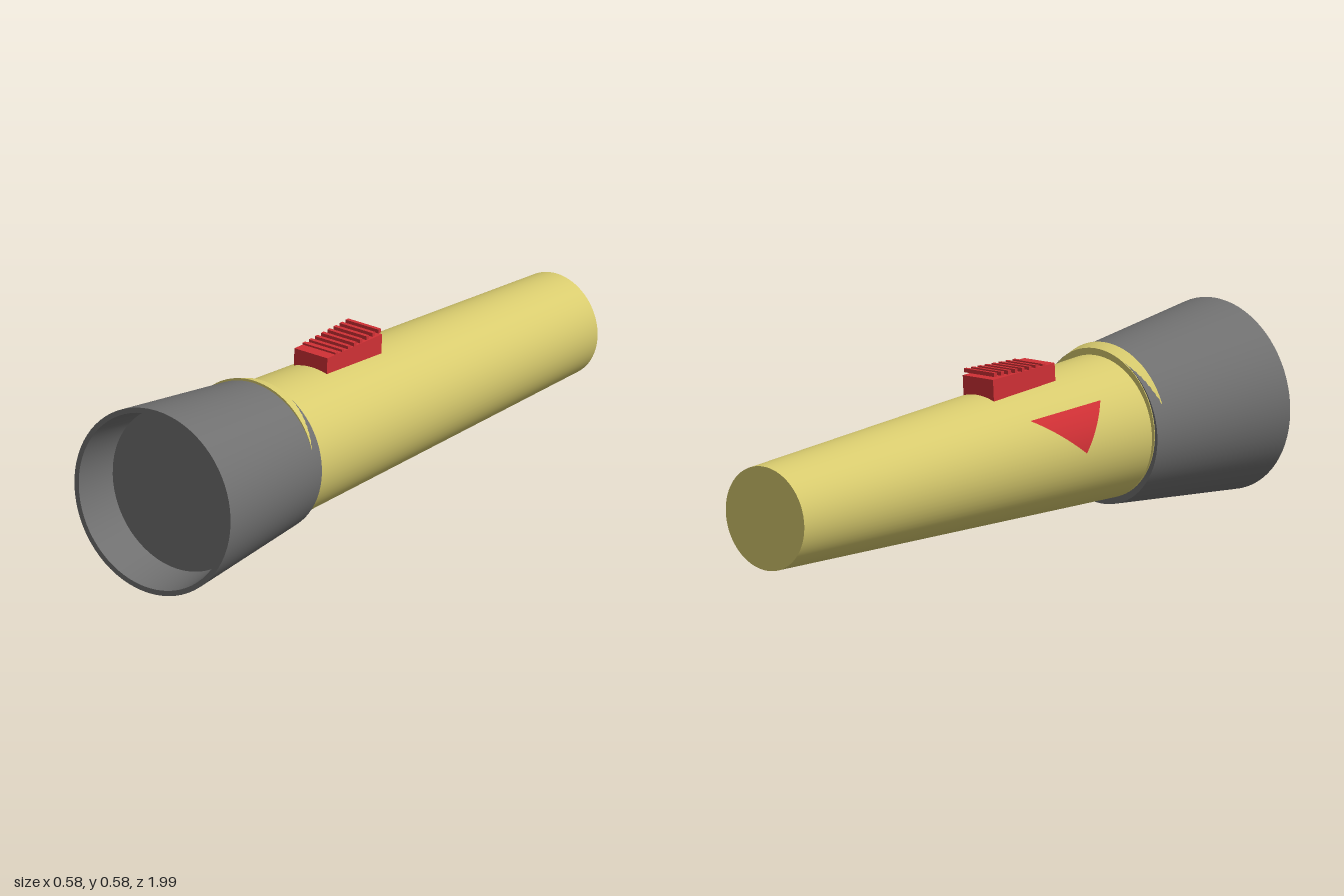
import * as THREE from 'three';
import { toCreasedNormals } from 'three/addons/utils/BufferGeometryUtils.js';

const yellow = new THREE.MeshStandardMaterial({ color: 0xd8cb6e });
yellow.name = 'yellow plastic';
const grey = new THREE.MeshStandardMaterial({ color: 0x707070 });
grey.name = 'grey plastic';
const red = new THREE.MeshStandardMaterial({ color: 0xd03035, side: THREE.DoubleSide });
red.name = 'red plastic';

const TILT = 0.062;

function part(parent, name, geometry, material) {
  const mesh = new THREE.Mesh(geometry, material);
  mesh.name = name;
  parent.add(mesh);
  return mesh;
}

// Solid turned around the z axis from [radius, z] pairs
function turned(profile) {
  const points = profile.map(([r, z]) => new THREE.Vector2(r, z));
  const geometry = new THREE.LatheGeometry(points, 72).rotateX(Math.PI / 2);
  return toCreasedNormals(geometry, 0.5);
}

const bodyRadius = (z) => 0.158 + 0.0394 * (z + 0.989);

// Triangular patch that follows the curve of the body on the -x side
function sidePatch() {
  const rows = 10, cols = 12;
  const positions = [], index = [];
  for (let i = 0; i <= rows; i++) {
    const t = i / rows;
    const angle = -0.02 + 0.68 * t;
    const z0 = 0.185 - 0.185 * t;
    const z1 = 0.185 + 0.11 * t;
    for (let j = 0; j <= cols; j++) {
      const z = z0 + (z1 - z0) * j / cols;
      const r = bodyRadius(z) + 0.005;
      positions.push(-r * Math.cos(angle), r * Math.sin(angle), z);
      if (i < rows && j < cols) {
        const a = i * (cols + 1) + j, b = a + cols + 1;
        index.push(a, a + 1, b, a + 1, b + 1, b);
      }
    }
  }
  const geometry = new THREE.BufferGeometry();
  geometry.setAttribute('position', new THREE.Float32BufferAttribute(positions, 3));
  geometry.setIndex(index);
  geometry.computeVertexNormals();
  return geometry;
}

export function createModel() {
  const model = new THREE.Group();
  model.name = 'flashlight';

  // Everything on the tilted main axis
  const barrel = new THREE.Group();
  barrel.name = 'barrel';
  barrel.position.y = 0.228;
  barrel.rotation.x = -TILT;
  model.add(barrel);

  // Tapered handle
  part(barrel, 'handle', turned([
    [0, -0.989], [0.158, -0.989], [bodyRadius(0.5), 0.5], [0, 0.5],
  ]), yellow);

  // Flared head with a recessed lens plate
  part(barrel, 'head', turned([
    [0, 0.463], [0.235, 0.463], [0.289, 0.982], [0.273, 0.982],
    [0.253, 0.842], [0, 0.842],
  ]), grey);

  // Collar, set slightly high so it breaks through the top of the head
  const collar = part(barrel, 'collar', turned([
    [0, 0.461], [0.225, 0.461], [0.2355, 0.502], [0, 0.502],
  ]), yellow);
  collar.position.y = 0.011;

  // Slide switch
  const slider = part(barrel, 'switch', new THREE.BoxGeometry(0.122, 0.08, 0.268), red);
  slider.position.set(-0.007, 0.208, 0.078);

  part(barrel, 'sideMark', sidePatch(), red);

  // Level grip ribs that rise out of the sloping switch
  const ribs = new THREE.Group();
  ribs.name = 'switchRibs';
  model.add(ribs);
  for (let i = 0; i < 8; i++) {
    const rib = part(ribs, 'rib', new THREE.BoxGeometry(0.122, 0.012, 0.012), red);
    rib.position.set(-0.007, 0.486, 0.15 - 0.03 * i);
  }
  return model;
}
